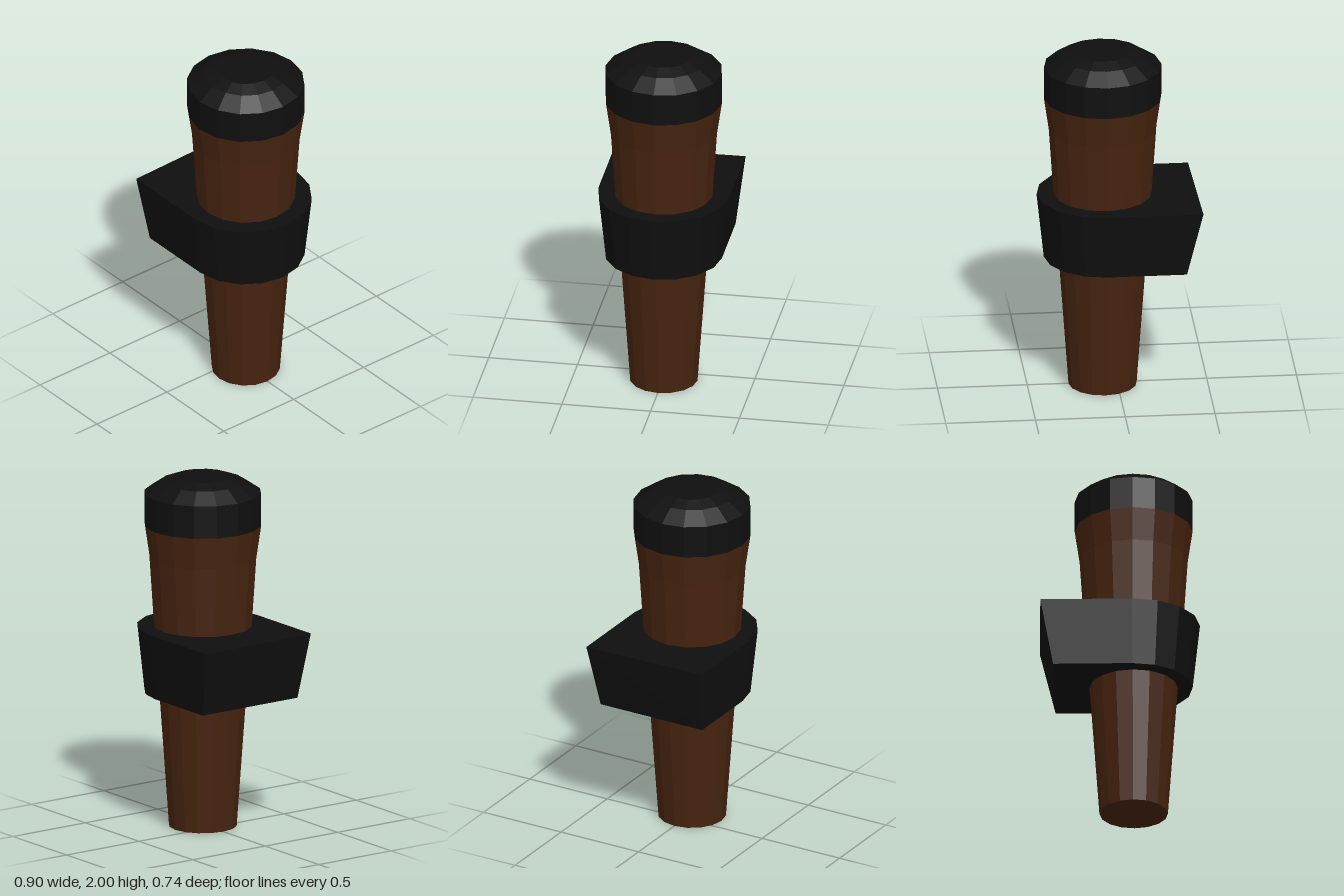
import * as THREE from 'three';

const AXIS_X = 0.08; // the post stands slightly off centre because of the collar's square end
const SIDES = 16;

export function createModel() {
  const wood = new THREE.MeshStandardMaterial({ color: 0x46230f, flatShading: true });
  wood.name = 'brownWood';
  const iron = new THREE.MeshStandardMaterial({ color: 0x0f0f0f, flatShading: true });
  iron.name = 'blackIron';

  const group = new THREE.Group();
  group.name = 'post';
  const add = (name, geometry, material) => {
    const mesh = new THREE.Mesh(geometry, material);
    mesh.name = name;
    group.add(mesh);
    return mesh;
  };
  const lathe = (points) =>
    new THREE.LatheGeometry(points.map(([r, y]) => new THREE.Vector2(r, y)), SIDES);

  // Tapered wooden shaft, closed at the foot
  add('shaft', lathe([[0, 0], [0.19, 0], [0.245, 0.77], [0.275, 1.16], [0.3, 1.54], [0.327, 1.725]]), wood)
    .position.x = AXIS_X;

  // Domed cap
  add('cap', lathe([[0, 1.725], [0.327, 1.725], [0.327, 1.91], [0.235, 1.972], [0.16, 2], [0, 2]]), iron)
    .position.x = AXIS_X;

  // Collar: round on the left, square on the right
  const r = 0.368, bottom = 0.77, top = 1.147;
  const outline = [new THREE.Vector2(-0.43, -r), new THREE.Vector2(AXIS_X, -r)];
  for (let i = 1; i <= SIDES / 2; i++) {
    const a = -Math.PI / 2 + (i / SIDES) * Math.PI * 2;
    outline.push(new THREE.Vector2(AXIS_X + r * Math.cos(a), r * Math.sin(a)));
  }
  outline.push(new THREE.Vector2(-0.448, r));
  const collar = new THREE.ExtrudeGeometry(new THREE.Shape(outline), {
    depth: top - bottom, bevelEnabled: false,
  });
  collar.rotateX(-Math.PI / 2).translate(0, bottom, 0);

  // Draw the lower edge inwards
  const p = collar.attributes.position;
  for (let i = 0; i < p.count; i++) {
    if (p.getY(i) > bottom + 0.01) continue;
    p.setX(i, Math.max(-0.36, AXIS_X + (p.getX(i) - AXIS_X) * 0.89));
    p.setZ(i, p.getZ(i) * 0.89);
  }
  collar.computeVertexNormals();
  add('collar', collar, iron);

  return group;
}
